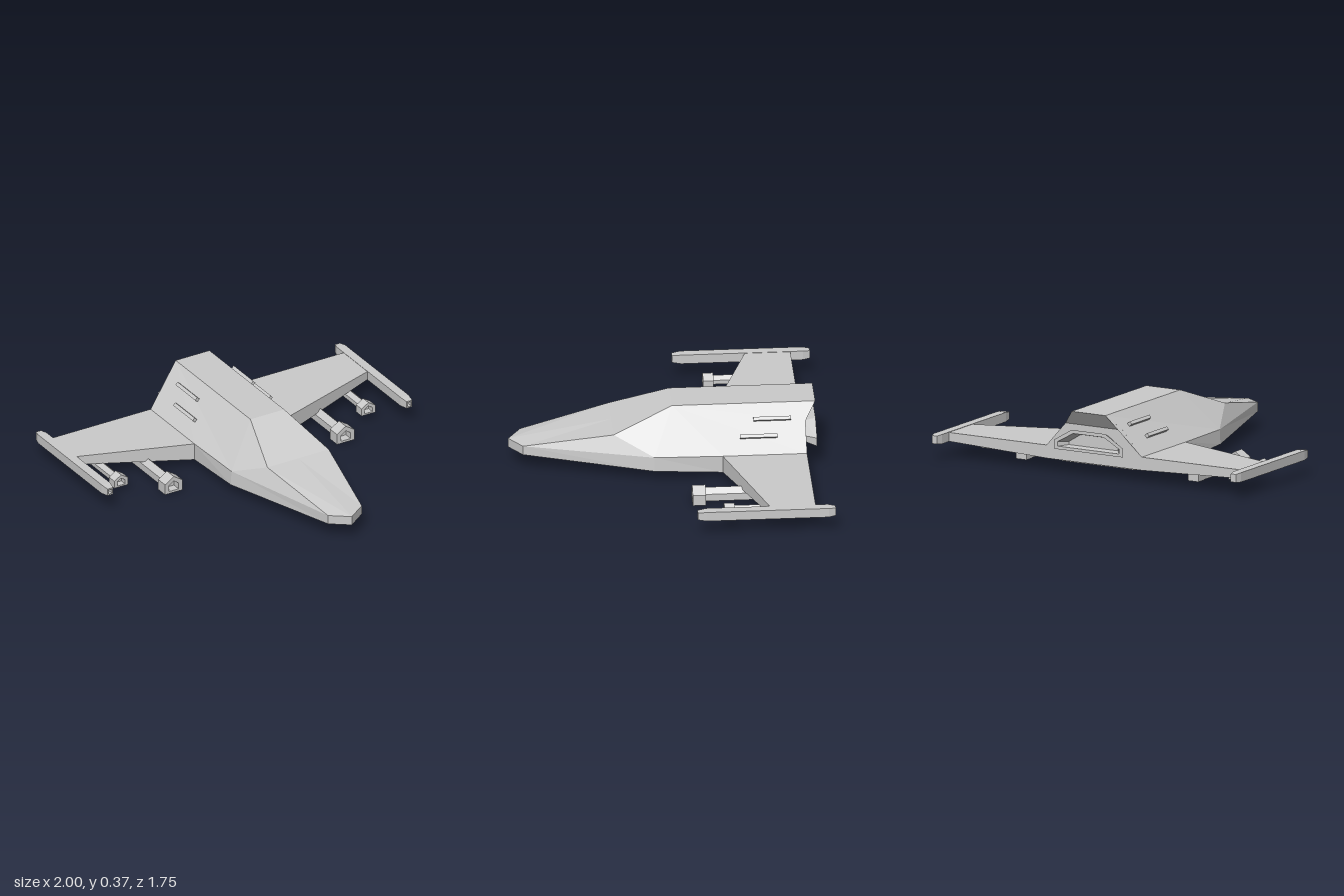
import * as THREE from 'three';

const grey = new THREE.MeshStandardMaterial({ color: 0xcccccc, flatShading: true });

// Flat-shaded geometry from polygons (corners counter-clockwise seen from outside)
function polygons(faces) {
  const pos = [];
  for (const f of faces)
    for (let i = 1; i < f.length - 1; i++) pos.push(...f[0], ...f[i], ...f[i + 1]);
  const g = new THREE.BufferGeometry();
  g.setAttribute('position', new THREE.Float32BufferAttribute(pos, 3));
  g.computeVertexNormals();
  return g;
}

// Skin over a series of rings, closed at both ends
function loft(rings) {
  const faces = [[...rings[0]].reverse(), rings[rings.length - 1]];
  for (let r = 0; r < rings.length - 1; r++) {
    const a = rings[r], b = rings[r + 1], n = a.length;
    for (let i = 0; i < n; i++) {
      const j = (i + 1) % n;
      faces.push([a[i], a[j], b[j], b[i]]);
    }
  }
  return faces;
}

const mirror = faces => faces.map(f => f.map(([x, y, z]) => [-x, y, z]).reverse());

const rect = (x0, x1, y0, y1, z) => [[x0, y0, z], [x1, y0, z], [x1, y1, z], [x0, y1, z]];

// Pentagon with a pitched top
const house = (x, w, y0, y1, y2, z) =>
  [[x - w, y0, z], [x + w, y0, z], [x + w, y1, z], [x, y2, z], [x - w, y1, z]];

export function createModel() {
  const model = new THREE.Group();
  const add = (name, geometry) => {
    const m = new THREE.Mesh(geometry, grey);
    m.name = name;
    model.add(m);
    return m;
  };
  const addPair = (name, faces) => {
    add('left' + name, polygons(faces));
    add('right' + name, polygons(mirror(faces)));
  };

  // Hull: left half, then mirrored
  const mid = ([, y, z]) => [0, y, z];
  const roofBack = [0.11, 0.375, -0.83], roofFront = [0.11, 0.375, -0.03];
  const brow = [0.2, 0.25, 0.3], nose = [0.11, 0.153, 0.8], tip = [0, 0.15, 0.875];
  const cheek = [0.3, 0.15, 0.08], root = [0.31, 0.15, -0.3], tail = [0.31, 0.15, -0.77];
  const notch = [0.186, 0.29, -0.77];
  const noseLow = [0.11, 0.1, 0.8], tipLow = [0, 0.097, 0.875], cheekLow = [0.305, 0.067, 0.08];
  const rootLow = [0.31, 0.05, -0.3], tailLow = [0.31, 0.075, -0.77];
  const half = [
    [mid(roofBack), mid(roofFront), roofFront, roofBack],
    [mid(roofFront), mid(brow), brow, roofFront],
    [mid(brow), tip, nose, brow],
    [roofFront, cheek, root, tail, notch, roofBack],
    [roofFront, brow, cheek],
    [brow, nose, cheek],
    [tip, tipLow, noseLow, nose],
    [nose, noseLow, cheekLow, cheek],
    [cheek, cheekLow, rootLow, root],
    [root, rootLow, tailLow, tail],
    [mid(tailLow), tailLow, rootLow, mid(rootLow)],
    [mid(rootLow), rootLow, cheekLow, noseLow, tipLow],
    [mid(roofBack), roofBack, notch, mid(notch)],
    [mid(notch), notch, tail, tailLow, mid(tailLow)],
  ];
  add('hull', polygons([...half, ...mirror(half)]));

  // Wings, thinning towards the tips
  addPair('Wing', loft([
    [rootLow, tailLow, tail, root],
    [[0.955, 0.1, -0.518], [0.955, 0.1, -0.77], [0.955, 0.15, -0.77], [0.955, 0.15, -0.518]],
  ]));

  // Wing-tip pods with a square bore in the front
  addPair('WingTipPod', loft([
    rect(0.957, 0.99, 0.102, 0.148, -0.88),
    rect(0.947, 1, 0.098, 0.152, -0.84),
    rect(0.947, 1, 0.098, 0.152, -0.16),
    rect(0.955, 0.992, 0.104, 0.146, -0.11),
    rect(0.962, 0.985, 0.112, 0.138, -0.11),
    rect(0.962, 0.985, 0.112, 0.138, -0.15),
  ]));

  // Underwing guns: barrel, hollow muzzle and rear mount
  const gun = (name, x, w, y0, y1, y2, front, back) => {
    const s = w * 0.55, cy = (y0 + y1) / 2;
    const k = y => cy + (y - cy) * 0.58;
    const muzzleBack = front - w * 1.3;
    addPair(name + 'Muzzle', loft([
      house(x, w, y0, y1, y2, muzzleBack),
      house(x, w, y0, y1, y2, front),
      house(x, s, k(y0), k(y1), k(y2), front),
      house(x, s, k(y0), k(y1), k(y2), front - w * 0.9),
    ]));
    addPair(name + 'Barrel', loft([
      house(x, s, y0 + 0.013, y1 - 0.008, y2 - 0.015, back),
      house(x, s, y0 + 0.013, y1 - 0.008, y2 - 0.015, muzzleBack),
    ]));
    addPair(name + 'Mount', loft([
      rect(x - s * 1.1, x + s * 1.1, y0 + 0.012, 0.12, back - 0.01),
      rect(x - s * 1.1, x + s * 1.1, y0 + 0.012, 0.12, back + 0.05),
    ]));
  };
  gun('InnerGun', 0.56, 0.057, 0.003, 0.066, 0.103, -0.11, -0.62);
  gun('OuterGun', 0.805, 0.045, 0.035, 0.08, 0.108, -0.27, -0.6);

  // Flared exhaust nozzle with a recessed opening
  const nozzleRing = (w, t, y0, y1, y2, z) =>
    [[w, y0, z], [-w, y0, z], [-w, y1, z], [-t, y2, z], [t, y2, z], [w, y1, z]];
  add('exhaustNozzle', polygons(loft([
    nozzleRing(0.17, 0.09, 0.155, 0.19, 0.245, -0.765),
    nozzleRing(0.225, 0.11, 0.15, 0.2, 0.27, -0.832),
    nozzleRing(0.2, 0.1, 0.167, 0.193, 0.25, -0.832),
    nozzleRing(0.16, 0.085, 0.17, 0.188, 0.235, -0.775),
  ])));

  // Raised louvres on the sloping hull sides
  for (const side of [1, -1])
    for (const [name, x, y, z] of [['Lower', 0.247, 0.236, -0.505], ['Upper', 0.182, 0.31, -0.585]]) {
      const m = add((side > 0 ? 'left' : 'right') + name + 'Louvre', new THREE.BoxGeometry(0.02, 0.02, 0.21));
      m.position.set(side * x, y, z);
      m.rotation.z = side * 0.727;
    }

  // Belly grille: a slotted plate lying along the rising underside
  const plate = new THREE.Shape([[-0.24, -0.17], [0.24, -0.17], [0.24, 0.17], [-0.24, 0.17]]
    .map(p => new THREE.Vector2(...p)));
  for (let i = -2; i <= 2; i++) {
    const c = i * 0.06;
    plate.holes.push(new THREE.Path([[-0.2, c - 0.018], [-0.2, c + 0.018], [0.2, c + 0.018], [0.2, c - 0.018]]
      .map(p => new THREE.Vector2(...p))));
  }
  const grille = add('bellyGrille', new THREE.ExtrudeGeometry(plate, { depth: 0.014, bevelEnabled: false }));
  grille.rotation.x = Math.PI / 2 + 0.053;
  grille.position.set(0, 0.064, -0.55);

  return model;
}
